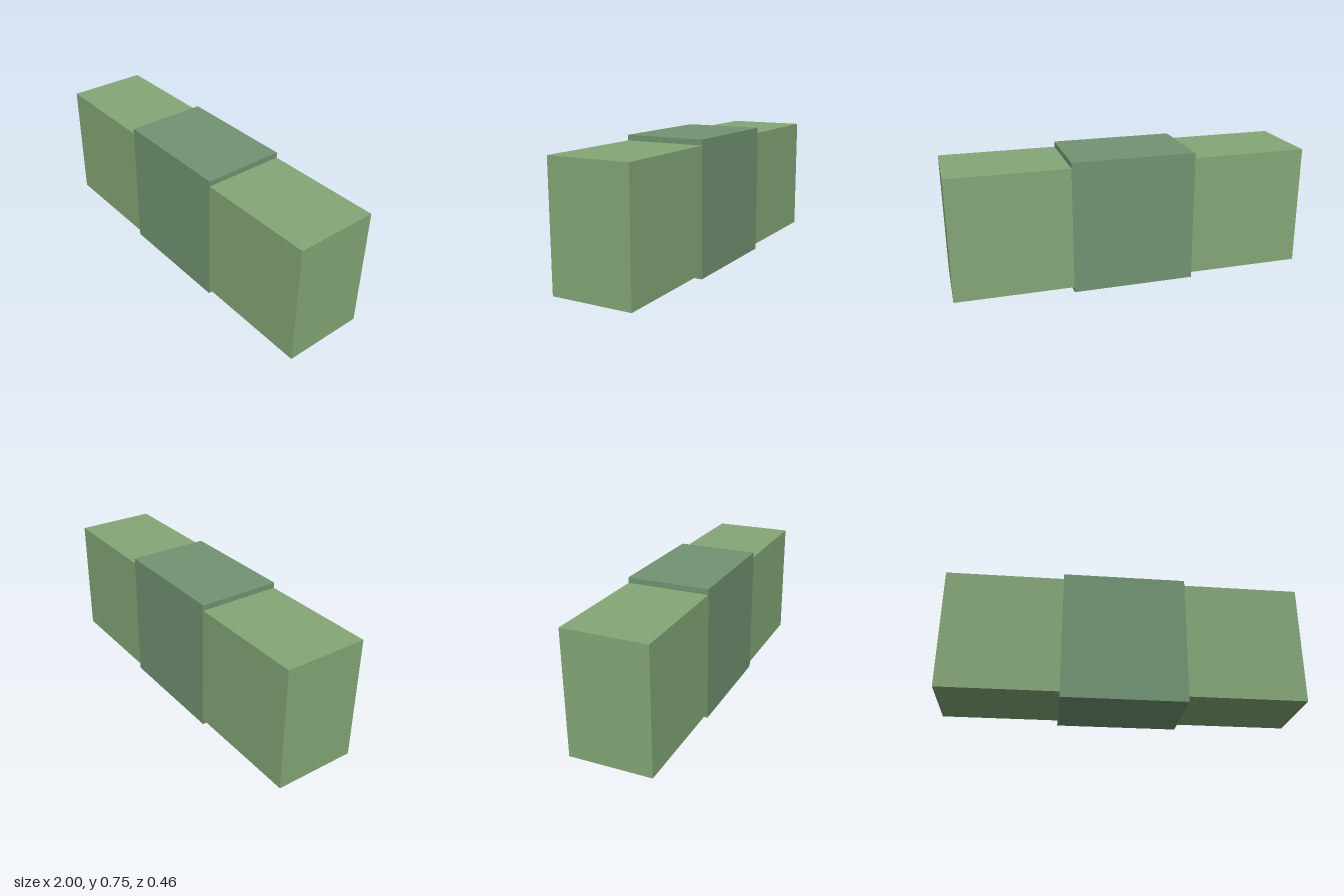
import * as THREE from 'three';

export function createModel() {
  const group = new THREE.Group();
  const midY = 0.3725;

  function block(name, w, h, d, x, color) {
    const mesh = new THREE.Mesh(
      new THREE.BoxGeometry(w, h, d),
      new THREE.MeshStandardMaterial({ color })
    );
    mesh.name = name;
    mesh.position.set(x, midY, 0);
    group.add(mesh);
  }

  // Taller middle block, a hair deeper so the overlapping faces never coincide
  block('middleBlock', 0.69, 0.745, 0.459, 0, 0x719472);

  // Matching end blocks, tucked slightly into the middle one
  for (const side of [-1, 1]) {
    block(side > 0 ? 'leftBlock' : 'rightBlock', 0.686, 0.684, 0.457, side * 0.657, 0x84a777);
  }

  return group;
}
